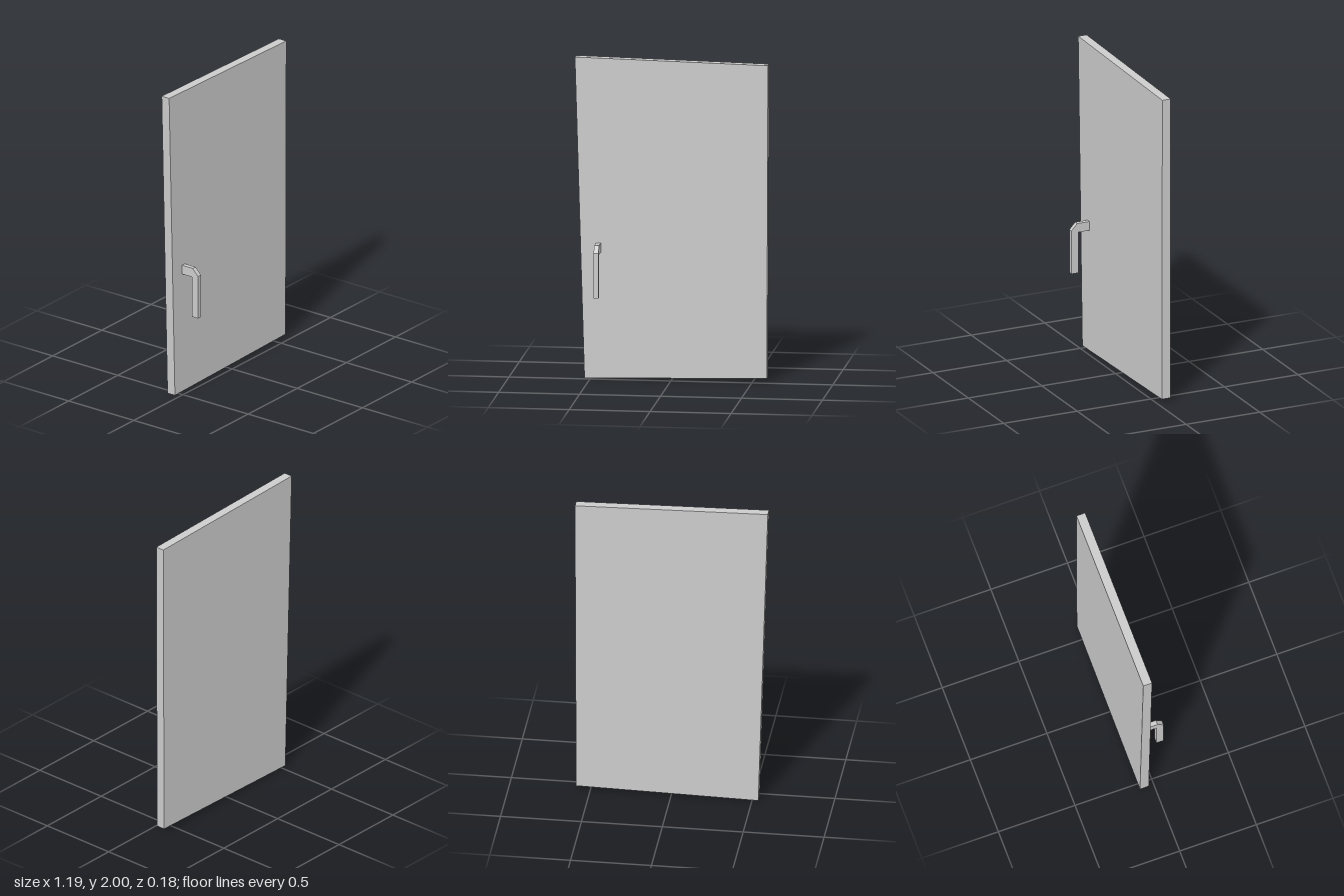
import * as THREE from 'three';

const material = new THREE.MeshStandardMaterial({ color: 0xcccccc, flatShading: true });

// Extrudes a flat outline into a sharp-edged slab
function slab(name, points, depth) {
  const shape = new THREE.Shape(points.map(([x, y]) => new THREE.Vector2(x, y)));
  const geometry = new THREE.ExtrudeGeometry(shape, { depth, bevelEnabled: false });
  const mesh = new THREE.Mesh(geometry, material);
  mesh.name = name;
  return mesh;
}

export function createModel() {
  const door = new THREE.Group();
  door.name = 'door';

  // Slightly crooked door panel
  const panel = slab('doorPanel', [
    [-0.538, 0], [0.588, 0.022], [0.595, 1.975], [-0.597, 2],
  ], 0.057);
  panel.position.z = -0.09;

  // Hooked handle: side profile as (z, y), extruded across x
  const handle = slab('handle', [
    [-0.033, 0.785], [0.043, 0.785], [0.043, 0.52], [0.09, 0.52],
    [0.09, 0.8], [0.05, 0.843], [-0.033, 0.843],
  ], 0.03);
  handle.rotation.y = -Math.PI / 2;
  handle.position.x = -0.437;

  door.add(panel, handle);
  return door;
}
